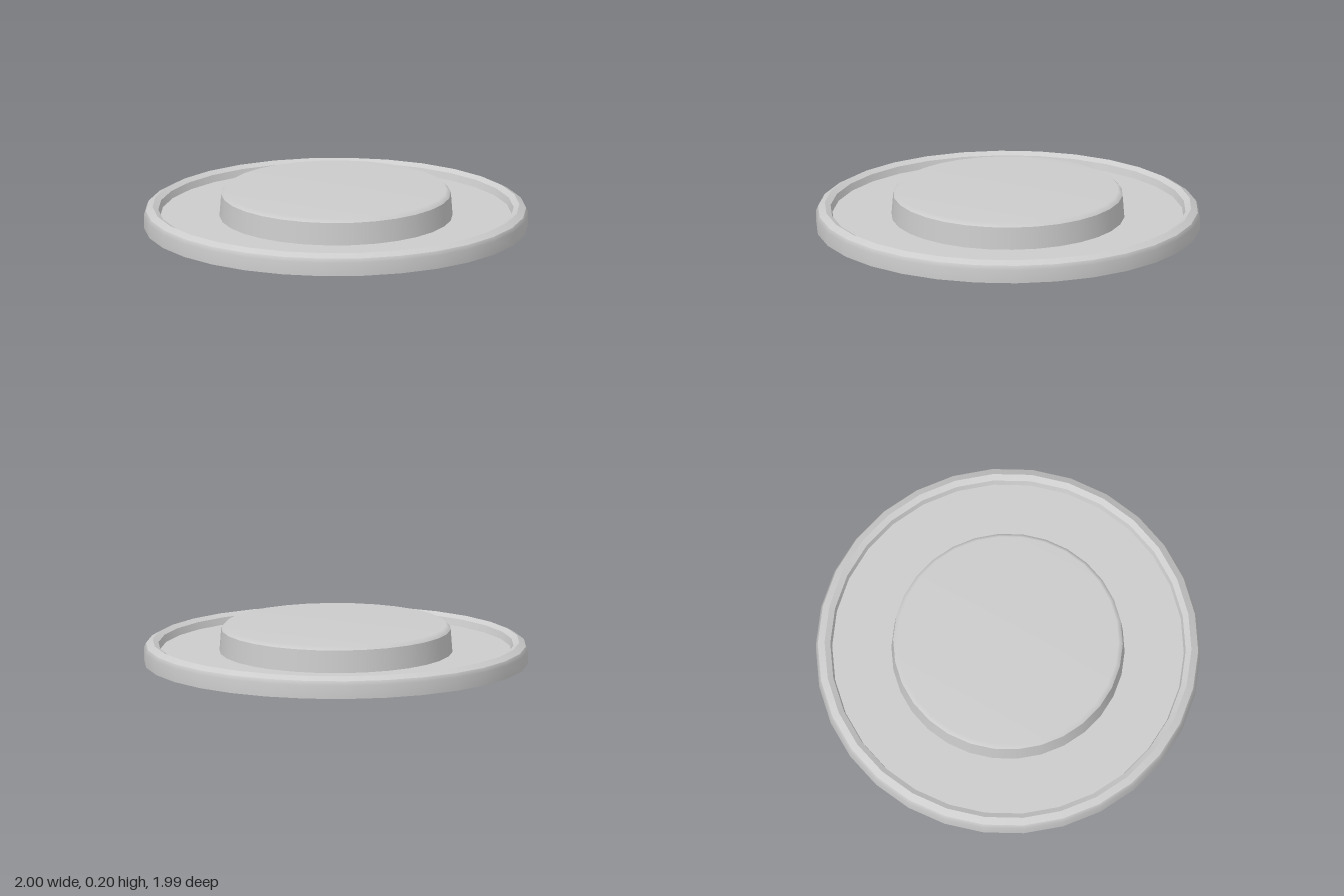
import * as THREE from 'three';

const SIDES = 30;

export function createModel() {
  const group = new THREE.Group();
  const material = new THREE.MeshStandardMaterial({ color: 0xcccccc, side: THREE.DoubleSide });

  // One open band of the shell, turned about y; bands meet at sharp creases
  const band = (name, ...profile) => {
    const points = profile.map(([r, y]) => new THREE.Vector2(r, y));
    const geometry = new THREE.LatheGeometry(points, SIDES, Math.PI / 2);
    const mesh = new THREE.Mesh(geometry, material);
    mesh.name = name;
    group.add(mesh);
  };

  // Raised rim, hollow underneath
  band('outerWall', [1, 0], [1, 0.07], [0.99, 0.092]);
  band('rimOuterSlope', [0.99, 0.092], [0.955, 0.112]);
  band('rimInnerSlope', [0.955, 0.112], [0.925, 0.096]);
  band('rimInnerWall', [0.925, 0.096], [0.915, 0.06]);

  // Flat ring between rim and centre
  band('floor', [0.915, 0.06], [0.607, 0.06]);

  // Raised centre with a softened top edge, open below
  band('centreWall', [0.607, 0.06], [0.598, 0.178]);
  band('centreTop', [0.598, 0.178], [0.575, 0.2], [0, 0.2]);

  return group;
}
